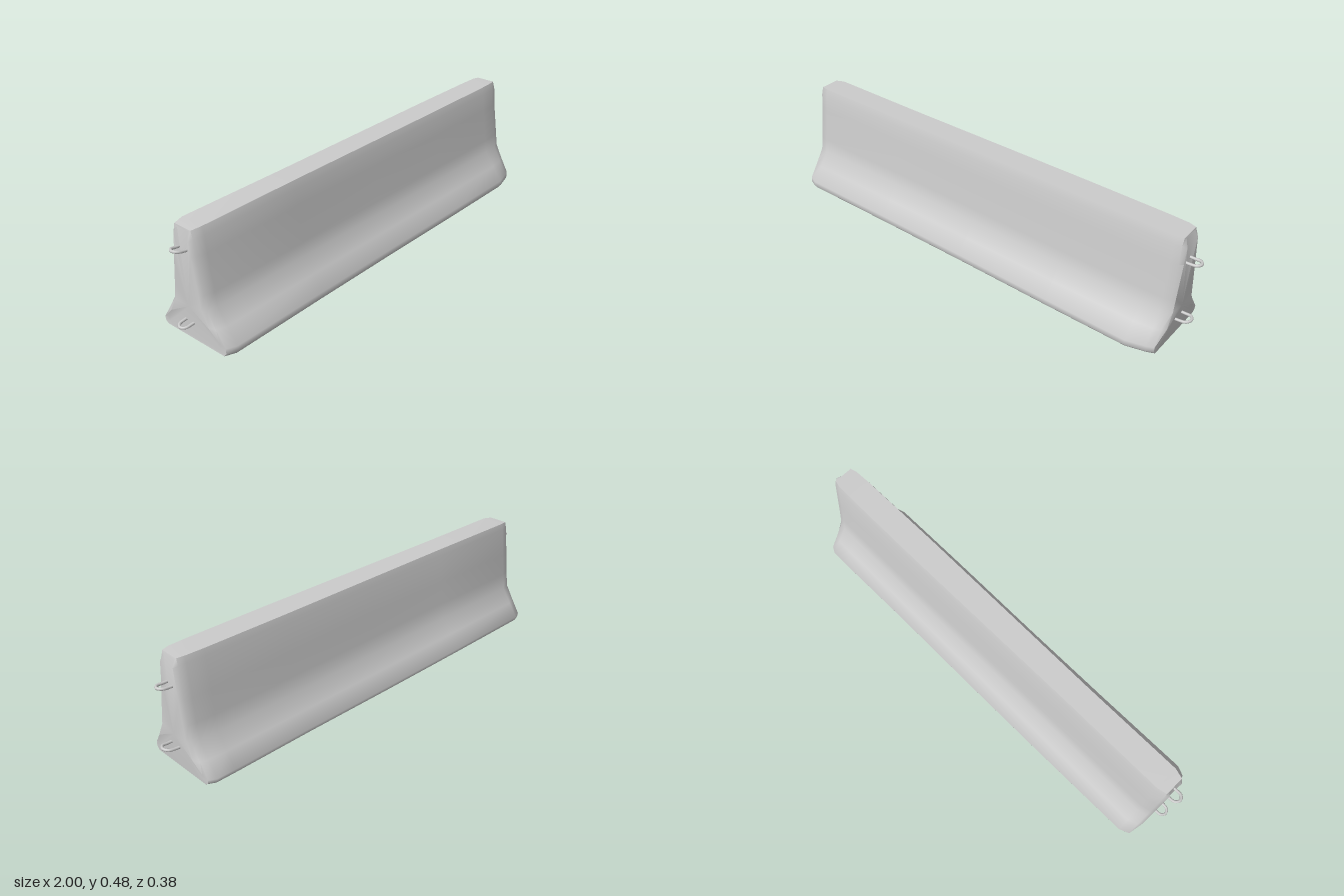
import * as THREE from 'three';
import { toCreasedNormals } from 'three/addons/utils/BufferGeometryUtils.js';

const material = new THREE.MeshStandardMaterial({ color: 0xcccccc });

// Cross-section [z, y], from the front foot over the top to the back foot
const profile = [
  [0.178, 0.01], [0.19, 0.025], [0.188, 0.046], [0.14, 0.108], [0.094, 0.172], [0.086, 0.23],
  [0.064, 0.38], [0.057, 0.455], [0.047, 0.487],
  [-0.058, 0.487], [-0.065, 0.46], [-0.079, 0.33], [-0.09, 0.23], [-0.1, 0.16],
  [-0.145, 0.095], [-0.188, 0.034], [-0.185, 0.018], [-0.172, 0.008],
];

// Stations along x: [x, inset of front foot, inset of back foot, inset of walls, inset of top]
const stations = [
  [-0.955, 0.05, 0.045, 0.024, 0.012],
  [-0.942, 0.018, 0.02, 0.01, 0.004],
  [-0.9, 0, 0.003, 0, 0],
  [-0.45, 0.003, 0, 0.002, 0],
  [0, 0.003, 0, 0, 0],
  [0.45, 0, 0.003, -0.002, 0],
  [0.82, 0, 0.001, 0, 0],
  [0.9, 0.022, 0.002, 0.003, 0],
  [0.93, 0.035, 0.018, 0.01, 0.002],
  [0.945, 0.052, 0.05, 0.022, 0.01],
];

// Concrete body lofted through the stations, with rounded-off ends
function bodyGeometry() {
  const pos = [], index = [];
  const n = profile.length, last = stations.length - 1;
  stations.forEach(([x, front, back, wall, top], s) => {
    const end = s === 0 ? 1 : s === last ? -1 : 0;
    for (const [z, y] of profile) {
      const foot = THREE.MathUtils.clamp((0.17 - y) / 0.12, 0, 1);
      const inset = THREE.MathUtils.lerp(wall, z > 0 ? front : back, foot);
      const pull = y < 0.05 ? 0.014 : y > 0.48 ? 0.012 : 0;
      const rise = y > 0.4 ? x * 0.006 : 0;
      pos.push(x + end * pull, y + rise - (y > 0.44 ? top : 0) + (end && y < 0.05 ? 0.008 : 0),
        z - Math.sign(z) * inset);
    }
  });
  for (let s = 0; s < last; s++) {
    for (let i = 0; i < n; i++) {
      const j = (i + 1) % n;
      const a = s * n + i, b = a + n, c = (s + 1) * n + j, d = s * n + j;
      index.push(a, b, c, a, c, d);
    }
  }
  // End faces, fanned from a middle point
  for (const s of [0, last]) {
    const centre = pos.length / 3;
    pos.push(stations[s][0], 0.16, 0);
    for (let i = 0; i < n; i++) {
      const a = s * n + i, b = s * n + (i + 1) % n;
      if (s === 0) index.push(centre, a, b);
      else index.push(centre, b, a);
    }
  }
  const geometry = new THREE.BufferGeometry();
  geometry.setAttribute('position', new THREE.Float32BufferAttribute(pos, 3));
  geometry.setIndex(index);
  return toCreasedNormals(geometry, 0.9);
}

// Steel coupling loop: a bent bar that leaves the end face and returns to it
function couplingLoop(side, y, z, halfWidth, tipRise) {
  const path = new THREE.CatmullRomCurve3([
    [0.91, -1, -0.4], [0.955, -1, 0], [0.982, -0.85, 0.7], [0.994, 0, 1],
    [0.982, 0.85, 0.7], [0.955, 1, 0], [0.91, 1, -0.4],
  ].map(([x, w, r]) => new THREE.Vector3(side * x, y + r * tipRise, z + w * halfWidth)));
  const mesh = new THREE.Mesh(new THREE.TubeGeometry(path, 24, 0.006, 8), material);
  mesh.name = 'couplingLoop';
  return mesh;
}

export function createModel() {
  const model = new THREE.Group();
  model.name = 'roadBarrier';

  const body = new THREE.Mesh(bodyGeometry(), material);
  body.name = 'barrierBody';
  model.add(body);

  const loops = new THREE.Group();
  loops.name = 'couplingLoops';
  loops.add(
    couplingLoop(1, 0.374, -0.003, 0.02, 0.004),
    couplingLoop(1, 0.111, 0.005, 0.025, 0.005),
    couplingLoop(-1, 0.394, -0.01, 0.021, 0.008),
    couplingLoop(-1, 0.088, -0.01, 0.021, -0.004),
  );
  model.add(loops);
  return model;
}
